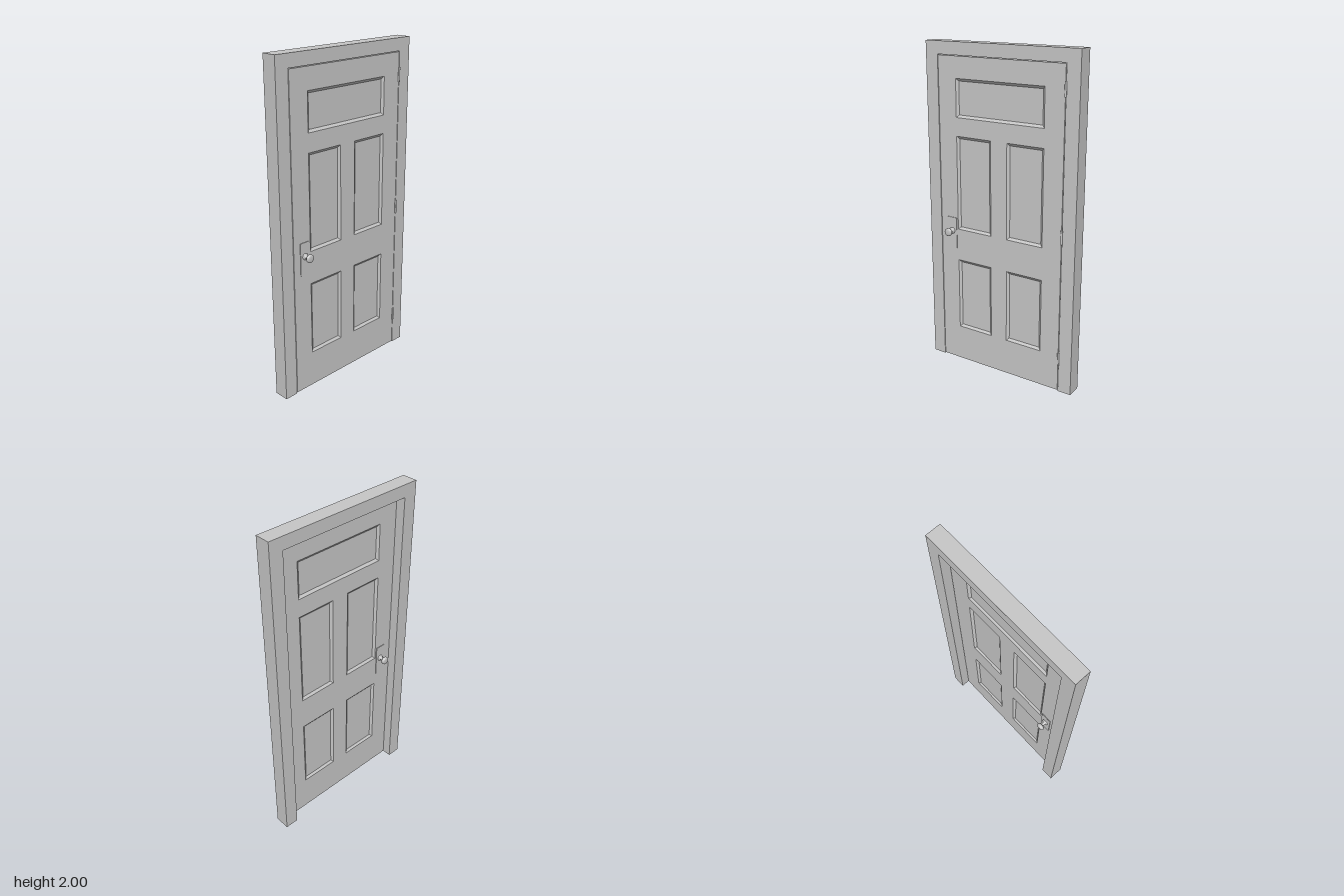
import * as THREE from 'three';

const FRONT = 0.018, BACK = -0.02, FRAME_BACK = -0.074;
const RECESS = 0.011, BEVEL = 0.015;

// Recessed panels: [x0, y0, x1, y1]
const PANELS = [
  [-0.295, 1.57, 0.295, 1.795],
  ...[[0.885, 1.46], [0.23, 0.685]].flatMap(([y0, y1]) => [
    [-0.295, y0, -0.055, y1],
    [0.055, y0, 0.295, y1],
  ]),
];

function rectCorners([x0, y0, x1, y1], inset = 0) {
  return [
    [x0 + inset, y0 + inset], [x1 - inset, y0 + inset],
    [x1 - inset, y1 - inset], [x0 + inset, y1 - inset],
  ];
}

const toVectors = (pts) => pts.map(([x, y]) => new THREE.Vector2(x, y));

// Sloped moulding and sunken field of one panel, facing +z (side 1) or -z (side -1)
function panelGeometry(rect, z, side) {
  const outer = rectCorners(rect).map(([x, y]) => [x, y, z]);
  const inner = rectCorners(rect, BEVEL).map(([x, y]) => [x, y, z - side * RECESS]);
  const quads = outer.map((p, i) => {
    const j = (i + 1) % 4;
    return [p, outer[j], inner[j], inner[i]];
  });
  quads.push(inner);
  const pos = [];
  for (const [a, b, c, d] of quads) {
    pos.push(...(side > 0 ? [a, b, c, a, c, d] : [a, c, b, a, d, c]).flat());
  }
  const g = new THREE.BufferGeometry();
  g.setAttribute('position', new THREE.Float32BufferAttribute(pos, 3));
  g.computeVertexNormals();
  return g;
}

export function createModel() {
  const model = new THREE.Group();
  model.name = 'panelDoor';
  const grey = new THREE.MeshStandardMaterial({ color: 0xc6c6c6 });
  grey.name = 'lightGrey';

  const add = (parent, name, geometry, x = 0, y = 0, z = 0) => {
    const mesh = new THREE.Mesh(geometry, grey);
    mesh.name = name;
    mesh.position.set(x, y, z);
    parent.add(mesh);
    return mesh;
  };

  // Door frame: two jambs and a head in one outline
  const frame = new THREE.Shape(toVectors([
    [-0.505, 0], [-0.422, 0], [-0.422, 1.925], [0.422, 1.925],
    [0.422, 0], [0.505, 0], [0.505, 2], [-0.505, 2],
  ]));
  add(model, 'doorFrame', new THREE.ExtrudeGeometry(frame,
    { depth: FRONT - FRAME_BACK, bevelEnabled: false }), 0, 0, FRAME_BACK);

  // Door leaf with openings for the panels
  const door = new THREE.Group();
  door.name = 'door';
  model.add(door);
  const leaf = new THREE.Shape(toVectors(rectCorners([-0.418, 0.006, 0.418, 1.921])));
  for (const rect of PANELS) leaf.holes.push(new THREE.Path(toVectors(rectCorners(rect))));
  add(door, 'doorLeaf', new THREE.ExtrudeGeometry(leaf,
    { depth: FRONT - BACK, bevelEnabled: false }), 0, 0, BACK);
  for (const rect of PANELS) {
    add(door, 'frontPanel', panelGeometry(rect, FRONT, 1));
    add(door, 'backPanel', panelGeometry(rect, BACK, -1));
  }

  // Knob profile: rose, neck and rounded grip
  const profile = toVectors([
    [0.019, 0], [0.019, 0.004], [0.016, 0.007], [0.009, 0.009], [0.008, 0.027],
    [0.012, 0.0295], [0.02, 0.031], [0.0235, 0.035], [0.0245, 0.041],
    [0.0235, 0.047], [0.019, 0.0505], [0.01, 0.0515], [0, 0.052],
  ]);
  const knobGeometry = new THREE.LatheGeometry(profile, 32).rotateX(Math.PI / 2);
  const plateGeometry = new THREE.BoxGeometry(0.066, 0.196, 0.004);

  // Plate and knob on both faces
  for (const [side, z] of [[1, FRONT], [-1, BACK]]) {
    const handle = new THREE.Group();
    handle.name = side > 0 ? 'frontHandle' : 'backHandle';
    add(handle, 'plate', plateGeometry, -0.338, 0.857, z + side * 0.002);
    const knob = add(handle, 'knob', knobGeometry, -0.338, 0.87, z + side * 0.004);
    if (side < 0) knob.rotation.y = Math.PI;
    door.add(handle);
  }

  // Hinge barrels
  const hingeGeometry = new THREE.CylinderGeometry(0.006, 0.006, 0.084, 16);
  for (const y of [0.213, 0.97, 1.79]) add(model, 'hinge', hingeGeometry, 0.42, y, 0.02);

  return model;
}
